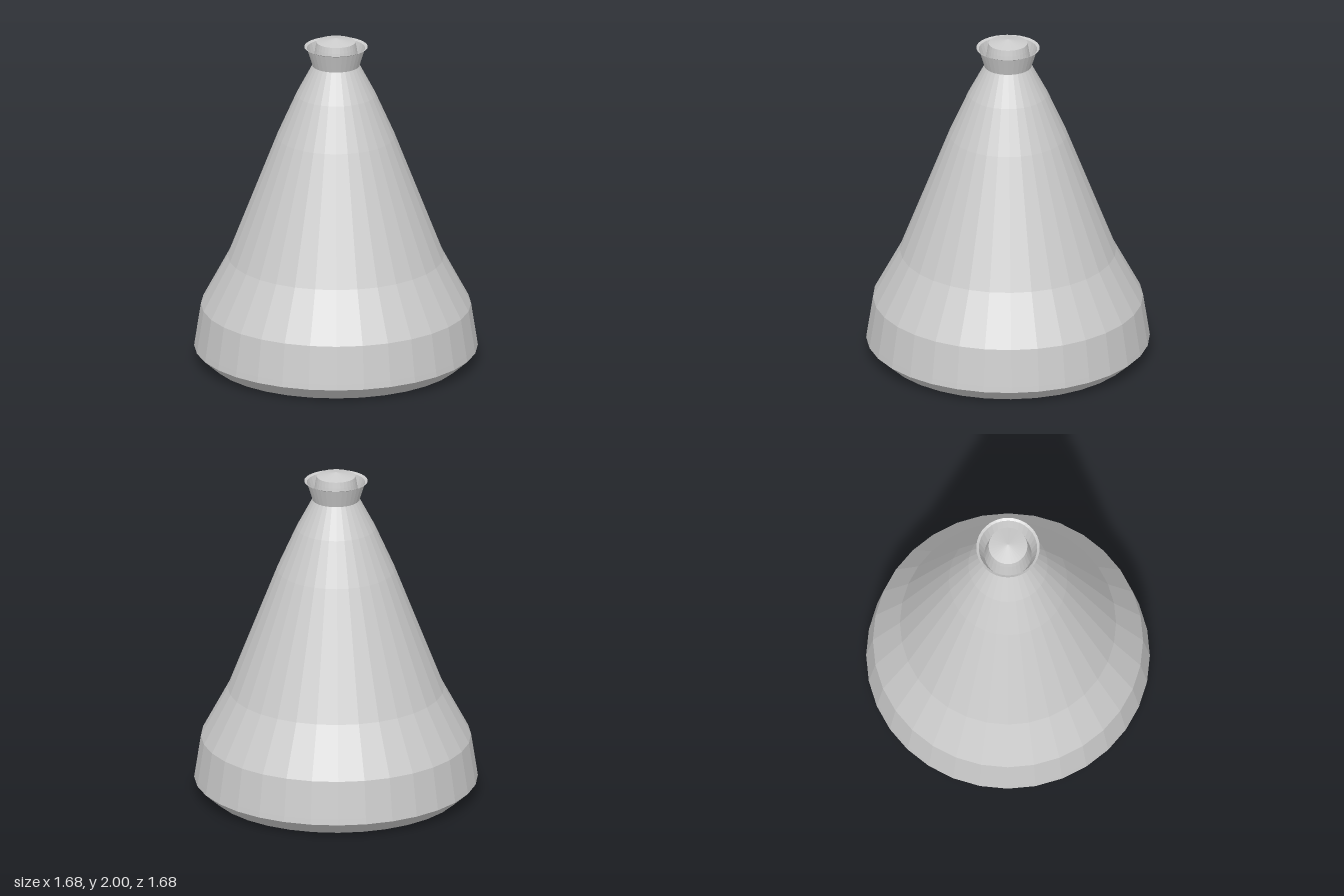
import * as THREE from 'three';

const SIDES = 32;

// Revolves a profile of [radius, height] points, listed from bottom to top
function turned(name, profile, material) {
  const points = profile.map(([r, y]) => new THREE.Vector2(r, y));
  const mesh = new THREE.Mesh(new THREE.LatheGeometry(points, SIDES), material);
  mesh.name = name;
  return mesh;
}

export function createModel() {
  const model = new THREE.Group();
  model.name = 'conicalFlask';
  const solid = new THREE.MeshStandardMaterial({ color: 0xcccccc, flatShading: true });
  const thin = solid.clone();
  thin.side = THREE.DoubleSide;

  // Flat base, chamfered foot and tapering body
  model.add(turned('body', [
    [0, 0], [0.75, 0], [0.84, 0.08], [0.835, 0.115], [0.8, 0.34],
    [0.64, 0.64], [0.35, 1.39], [0.235, 1.65], [0.14, 1.83],
  ], solid));

  // Open flared neck with a thin rim
  model.add(turned('neck', [[0.14, 1.83], [0.173, 1.937], [0.188, 1.945]], thin));

  // Stopper sitting in the neck, with a shallow pointed top
  model.add(turned('stopper', [[0.14, 1.83], [0.122, 1.94], [0.115, 1.975], [0, 2]], solid));

  return model;
}
